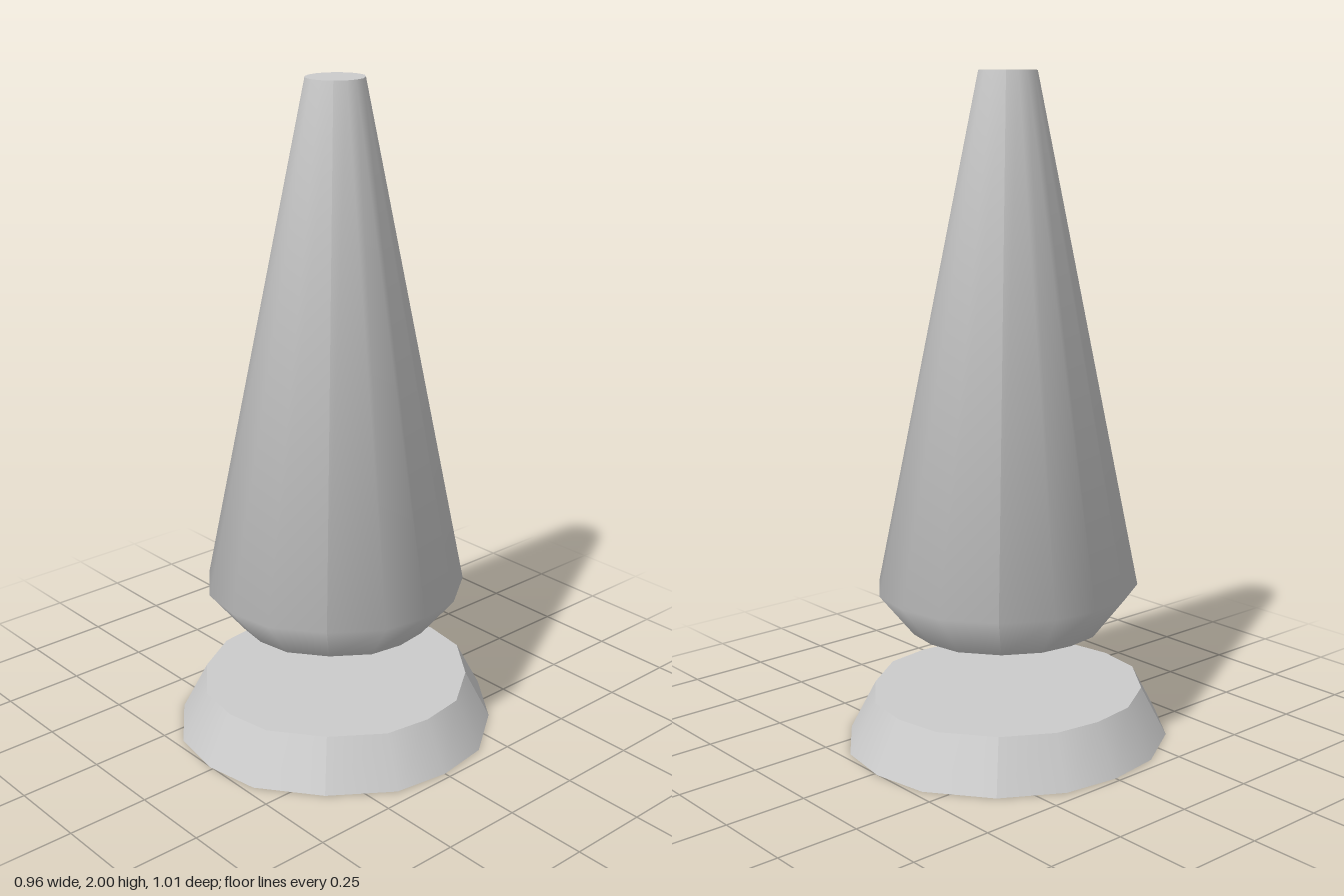
import * as THREE from 'three';
import { mergeGeometries } from 'three/addons/utils/BufferGeometryUtils.js';

const CENTRE_X = -0.013;

// Faceted outline of unit radius in (x, z), split into four smooth panels that meet in creases
const panels = [
  [[-0.685, 0.685], [-0.343, 0.943], [0, 1], [0.343, 0.943], [0.685, 0.685]],
  [[0.685, 0.685], [0.93, 0.34], [0.98, 0], [0.93, -0.34], [0.685, -0.685]],
  [[0.685, -0.685], [0.343, -0.943], [0, -1], [-0.343, -0.943], [-0.685, -0.685]],
  [[-0.685, -0.685], [-0.89, -0.34], [-0.937, 0], [-0.89, 0.34], [-0.685, 0.685]],
];

// Averaged normals along an open polyline
function lineNormals(points) {
  const segments = points.slice(1).map(([x, y], i) =>
    new THREE.Vector2(points[i][1] - y, x - points[i][0]).normalize().negate());
  return points.map((_, i) => {
    const n = new THREE.Vector2();
    if (i > 0) n.add(segments[i - 1]);
    if (i < segments.length) n.add(segments[i]);
    return n.normalize();
  });
}

function makeGeometry(position, normal, index) {
  const g = new THREE.BufferGeometry();
  g.setAttribute('position', new THREE.Float32BufferAttribute(position, 3));
  g.setAttribute('normal', new THREE.Float32BufferAttribute(normal, 3));
  g.setIndex(index);
  return g;
}

// One side panel swept along the profile of [radius, y] points, bottom to top
function panelSurface(panel, profile) {
  const position = [], normal = [], index = [];
  const around = lineNormals(panel), up = lineNormals(profile);
  const n = panel.length;
  profile.forEach(([r, y], j) => panel.forEach(([x, z], i) => {
    position.push(x * r, y, z * r);
    // outward directions of outline and profile
    const out = Math.sign(around[i].x * x + around[i].y * z);
    const side = Math.sign(up[j].x);
    normal.push(around[i].x * out * up[j].x * side, up[j].y * side, around[i].y * out * up[j].x * side);
    if (j > 0 && i > 0) {
      const d = j * n + i, c = d - 1, b = d - n, a = b - 1;
      index.push(a, b, d, a, d, c);
    }
  }));
  return makeGeometry(position, normal, index);
}

// Flat end face
function cap([r, y], facing) {
  const ring = panels.flatMap((p) => p.slice(0, -1));
  const position = [0, y, 0], normal = [0, facing, 0], index = [];
  ring.forEach(([x, z], i) => {
    position.push(x * r, y, z * r);
    normal.push(0, facing, 0);
    const a = i + 1, b = (i + 1) % ring.length + 1;
    index.push(0, ...(facing > 0 ? [a, b] : [b, a]));
  });
  return makeGeometry(position, normal, index);
}

function turnedPart(name, profile, material) {
  const geometry = mergeGeometries([
    ...panels.map((p) => panelSurface(p, profile)),
    cap(profile[0], -1),
    cap(profile[profile.length - 1], 1),
  ]);
  const mesh = new THREE.Mesh(geometry, material);
  mesh.name = name;
  mesh.position.x = CENTRE_X;
  return mesh;
}

export function createModel() {
  const group = new THREE.Group();
  const material = new THREE.MeshStandardMaterial({ color: 0xcccccc });
  // Tapered foot
  group.add(turnedPart('base', [[0.503, 0], [0.423, 0.15]], material));
  // Tall cone with a chamfered lower end, floating above the foot
  group.add(turnedPart('cone', [[0.3, 0.35], [0.405, 0.48], [0.088, 2]], material));
  return group;
}
